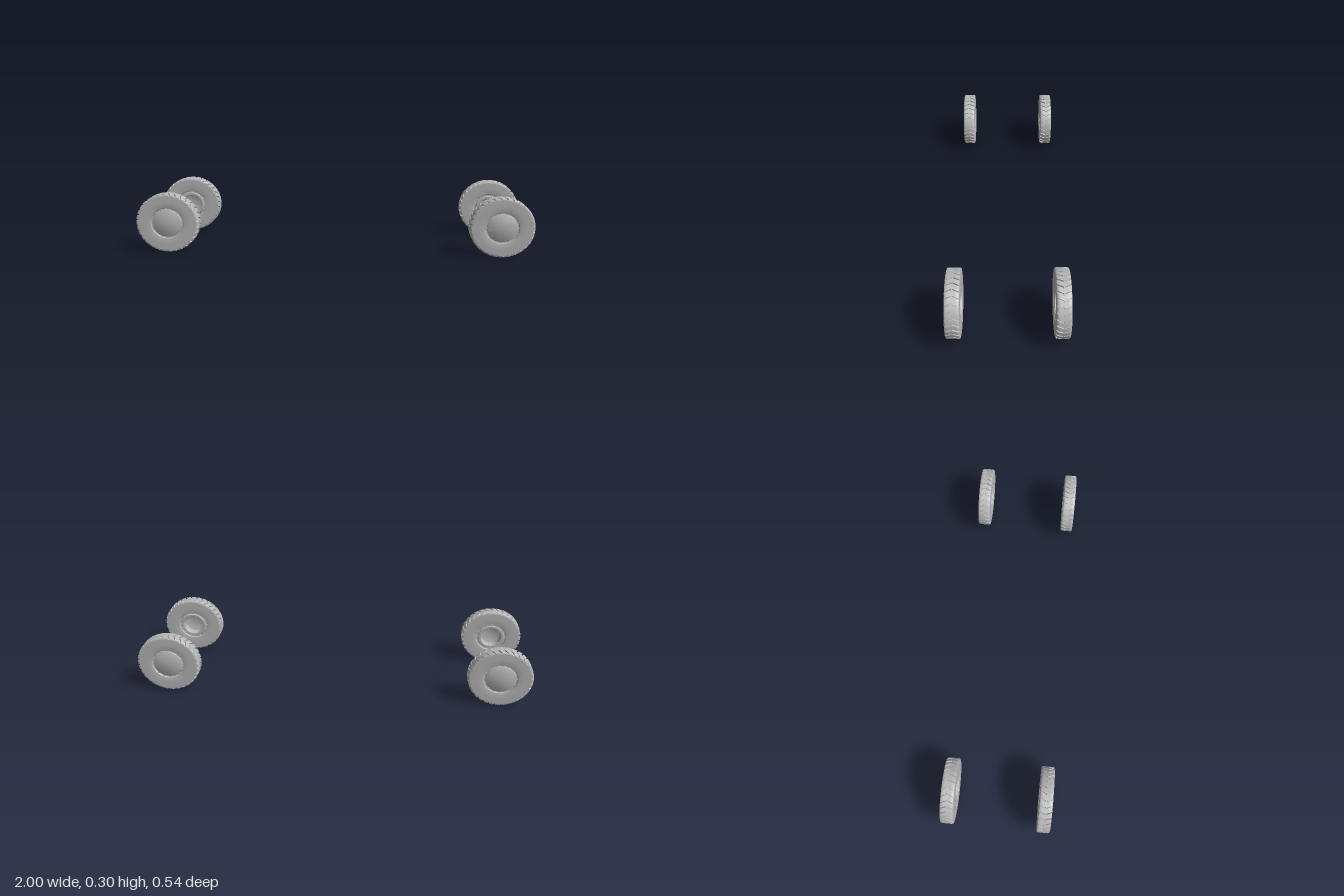
import * as THREE from 'three';
import { toCreasedNormals } from 'three/addons/utils/BufferGeometryUtils.js';

const R = 0.15, HALF = 0.0325, LUGS = 32;

// Surface turned around the z axis from [radius, z] points, running from -z to +z
function turned(points) {
  const lathe = new THREE.LatheGeometry(points.map(([r, z]) => new THREE.Vector2(r, z)), 64);
  return toCreasedNormals(lathe.rotateX(Math.PI / 2), 0.6);
}

// Tread band: rounded shoulders with chevron grooves pressed in
function treadGeometry() {
  // [radius, z, groove depth]
  const half = [[R, 0.002, 0], [R, 0.0035, 0.007], [R, 0.014, 0.007], [R, 0.025, 0.007],
    [0.1488, 0.0288, 0.0065], [0.1455, 0.0315, 0.005], [0.14, HALF, 0]];
  const profile = [...half.map(([r, z, d]) => [r, -z, d]).reverse(), ...half];
  // [fraction of one lug, 1 when inside the groove]
  const steps = [[0, 0], [0.26, 0], [0.52, 0], [0.76, 0], [0.79, 1], [0.97, 1]];
  const columns = LUGS * steps.length, rows = profile.length;
  const positions = [], index = [];
  for (let i = 0; i < columns; i++) {
    const [fraction, inGroove] = steps[i % steps.length];
    const base = (Math.floor(i / steps.length) + fraction) / LUGS * Math.PI * 2;
    profile.forEach(([r, z, depth], j) => {
      const angle = base - 0.095 * Math.abs(z) / HALF;
      const radius = r - depth * inGroove;
      positions.push(radius * Math.cos(angle), radius * Math.sin(angle), z);
      if (j < rows - 1) {
        const a = i * rows + j, b = ((i + 1) % columns) * rows + j;
        index.push(a, b, b + 1, a, b + 1, a + 1);
      }
    });
  }
  const geometry = new THREE.BufferGeometry();
  geometry.setAttribute('position', new THREE.Float32BufferAttribute(positions, 3));
  geometry.setIndex(index);
  return toCreasedNormals(geometry, 0.6);
}

export function createModel() {
  const model = new THREE.Group();
  const grey = new THREE.MeshStandardMaterial({ color: 0xb8b8b8 });
  grey.name = 'wheel grey';

  const parts = {
    tread: treadGeometry(),
    // Inner side: deep hub cup, rim ring, groove, sidewall
    innerSide: turned([[0, 0.008], [0.03, 0.008], [0.048, 0.002], [0.05, -0.027], [0.053, -0.03],
      [0.064, -0.03], [0.067, -0.024], [0.074, -0.024], [0.077, -0.031], [0.085, -0.0325],
      [0.11, -0.0335], [0.1402, -HALF]]),
    // Outer side: sidewall, groove, flat hub cap
    outerSide: turned([[0.1402, HALF], [0.11, 0.0335], [0.085, 0.0325], [0.079, 0.031],
      [0.076, 0.025], [0.071, 0.025], [0.069, 0.0315], [0.067, 0.0325], [0, 0.0325]]),
  };
  const studGeometry = new THREE.BoxGeometry(0.007, 0.007, 0.006);

  function makeWheel() {
    const wheel = new THREE.Group();
    for (const [name, geometry] of Object.entries(parts)) {
      const mesh = new THREE.Mesh(geometry, grey);
      mesh.name = name;
      wheel.add(mesh);
    }
    // Small studs in the rim grooves
    for (const [radius, z] of [[0.0735, 0.0265], [0.0705, -0.0255]]) {
      for (let i = 0; i < 16; i++) {
        const angle = i / 16 * Math.PI * 2;
        const stud = new THREE.Mesh(studGeometry, grey);
        stud.name = 'rimStud';
        stud.position.set(radius * Math.cos(angle), radius * Math.sin(angle), z);
        stud.rotation.z = angle;
        wheel.add(stud);
      }
    }
    wheel.scale.x = 0.16 / R;
    return wheel;
  }

  // Four wheels, hub caps facing outwards
  for (const side of [1, -1]) {
    for (const end of [1, -1]) {
      const wheel = makeWheel();
      wheel.name = (end > 0 ? 'front' : 'back') + (side > 0 ? 'Left' : 'Right') + 'Wheel';
      wheel.position.set(side * 0.84, R, end * 0.236);
      wheel.rotation.y = end > 0 ? 0 : Math.PI;
      model.add(wheel);
    }
  }
  return model;
}
